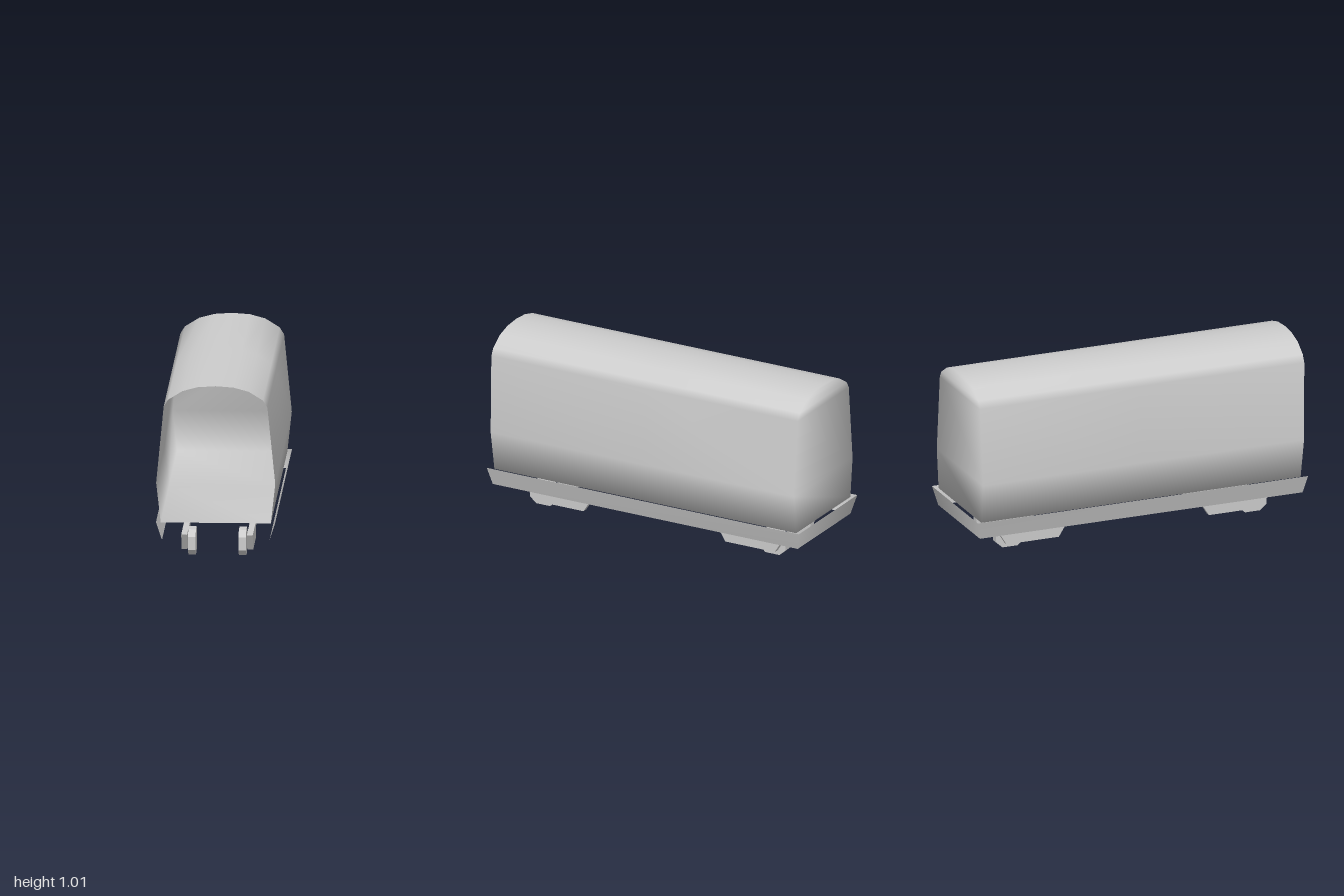
import * as THREE from 'three';

const grey = new THREE.MeshStandardMaterial({ color: 0xcccccc, side: THREE.DoubleSide });
grey.name = 'lightGrey';

function smoothMesh(name, positions, indices) {
  const geometry = new THREE.BufferGeometry();
  geometry.setAttribute('position', new THREE.Float32BufferAttribute(positions, 3));
  geometry.setIndex(indices);
  geometry.computeVertexNormals();
  const mesh = new THREE.Mesh(geometry, grey);
  mesh.name = name;
  return mesh;
}

// Carriage shell: floor, walls and domed roof, open at the front, closed at the back
function buildBody() {
  const half = [[0.308, 0.222], [0.333, 0.45], [0.29, 0.89], [0.265, 0.93], [0.185, 0.98], [0.1, 1.003]];
  const profile = [...half, [0, 1.01], ...half.map(([x, y]) => [-x, y]).reverse()];
  const n = profile.length;
  const positions = [], indices = [];
  // the front rim leans slightly forward towards the roof
  const rings = [(y) => 0.965 + 0.035 * (y - 0.222) / 0.788, () => 0, () => -0.97];
  rings.forEach((zAt) => profile.forEach(([x, y]) => positions.push(x, y, zAt(y))));
  for (let j = 0; j < rings.length - 1; j++) {
    for (let i = 0; i < n; i++) {
      const a = j * n + i, b = j * n + (i + 1) % n;
      indices.push(a, a + n, b, b, a + n, b + n);
    }
  }
  // back wall, in rows from side to side
  const base = (rings.length - 1) * n;
  for (let i = 0; i < half.length; i++) {
    const r = base + i, l = base + n - 1 - i;
    indices.push(r, l, r + 1);
    if (i < half.length - 1) indices.push(r + 1, l, l - 1);
  }
  return smoothMesh('body', positions, indices);
}

// Flared strip round the sides and back
function buildSkirt() {
  const positions = [], indices = [];
  const rows = [
    { x: 0.333, y: 0.23, front: 1, back: -1 },
    { x: 0.3, y: 0.125, front: 0.98, back: -0.975 },
  ];
  for (const { x, y, front, back } of rows) {
    positions.push(x, y, front, x, y, back, -x, y, back, -x, y, front);
  }
  for (let i = 0; i < 3; i++) indices.push(i, i + 4, i + 1, i + 1, i + 4, i + 5);
  return smoothMesh('skirt', positions, indices);
}

// Extrudes a (z, y) outline across x, from x0 to x1
function sidePlate(name, outline, x0, x1) {
  const shape = new THREE.Shape(outline.map(([z, y]) => new THREE.Vector2(-z, y)));
  const geometry = new THREE.ExtrudeGeometry(shape, { depth: x1 - x0, bevelEnabled: false });
  geometry.rotateY(Math.PI / 2);
  geometry.translate(x0, 0, 0);
  const mesh = new THREE.Mesh(geometry, grey);
  mesh.name = name;
  return mesh;
}

export function createModel() {
  const model = new THREE.Group();
  model.name = 'railCarriage';
  model.add(buildBody(), buildSkirt());

  // Wheel sets: side frames with one wheel at the outer end of each
  const frame = [[0.83, 0.124], [0.772, 0.03], [0.455, 0.03], [0.395, 0.124]];
  const wheel = [[0.045, 0], [0.085, 0.035], [0.085, 0.11], [0.045, 0.145],
    [-0.045, 0.145], [-0.085, 0.11], [-0.085, 0.035], [-0.045, 0]];
  for (const end of [1, -1]) {
    const bogie = new THREE.Group();
    bogie.name = end > 0 ? 'frontBogie' : 'backBogie';
    for (const side of [1, -1]) {
      const place = (a, b) => (side > 0 ? [a, b] : [-b, -a]);
      bogie.add(
        sidePlate('bogieFrame', frame.map(([z, y]) => [z * end, y]), ...place(0.167, 0.2)),
        sidePlate('wheel', wheel.map(([z, y]) => [z + 0.735 * end, y]), ...place(0.12, 0.162)),
      );
    }
    model.add(bogie);
  }
  return model;
}
